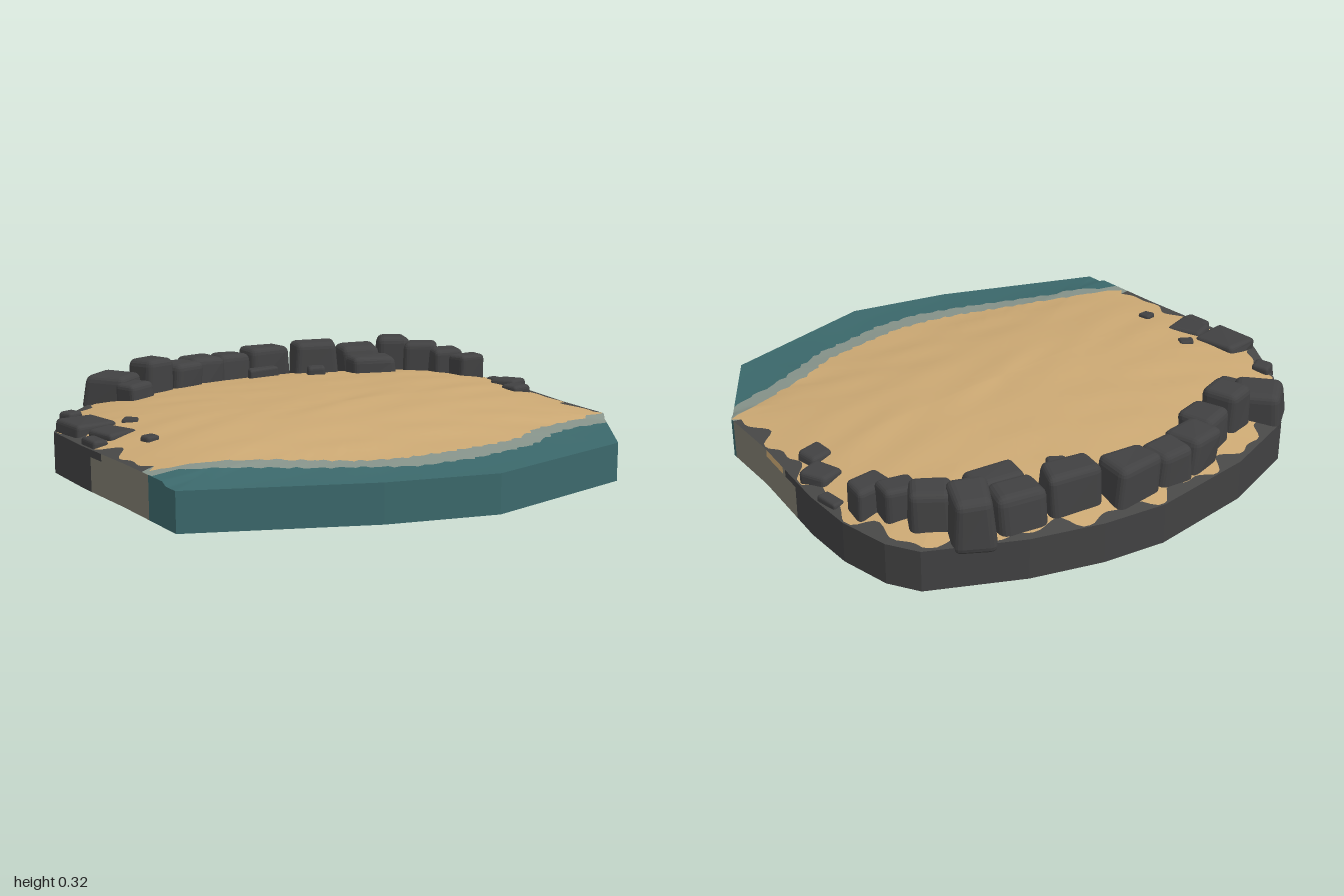
import * as THREE from 'three';
import { mergeVertices } from 'three/addons/utils/BufferGeometryUtils.js';
import { RoundedBoxGeometry } from 'three/addons/geometries/RoundedBoxGeometry.js';

const COLORS = {
  sand: 0xcba873, foam: 0x86938a, water: 0x3b686b, wetStone: 0x7d7a6e,
  rock: 0x414142, rim: 0x484847, underside: 0x3c3c35,
};

// Plan outline and shorelines as [x, z]
const OUTLINE = [[0.91, 0.47], [0.64, 0.84], [0.01, 0.96], [-0.38, 0.85], [-0.99, 0.58], [-0.99, 0.2],
  [-1, -0.1], [-0.995, -0.37], [-0.85, -0.6], [-0.6, -0.85], [-0.28, -0.94], [0.12, -0.965], [0.35, -0.92],
  [0.6, -0.83], [0.91, -0.66], [0.97, -0.55], [1, -0.36], [0.99, -0.16], [0.93, 0.22], [0.91, 0.47]];
const SAND_EDGE = [[-1.05, 0.34], [-0.9, 0.38], [-0.75, 0.42], [-0.6, 0.48], [-0.45, 0.55], [-0.3, 0.62],
  [-0.15, 0.66], [0, 0.675], [0.2, 0.66], [0.35, 0.64], [0.5, 0.57], [0.7, 0.52], [0.95, 0.46]];
const WATER_EDGE = [[-1.05, 0.4], [-0.9, 0.42], [-0.8, 0.48], [-0.7, 0.51], [-0.5, 0.61], [-0.3, 0.7],
  [-0.15, 0.755], [0.05, 0.765], [0.2, 0.74], [0.35, 0.72], [0.5, 0.65], [0.65, 0.6], [0.9, 0.56]];
const PROFILE = [[-1, 0.2], [-0.7, 0.21], [-0.3, 0.216], [0, 0.217], [0.2, 0.208], [0.4, 0.187],
  [0.6, 0.165], [0.8, 0.148], [1, 0.137]];

// Distance from the centre to a polyline along an angle
function hit(line, ang) {
  const c = Math.cos(ang), s = Math.sin(ang);
  let best = Infinity;
  for (let i = 0; i < line.length - 1; i++) {
    const [ax, az] = line[i], [bx, bz] = line[i + 1];
    const da = az * c - ax * s, db = bz * c - bx * s;
    if (da * db > 0 || da === db) continue;
    const k = da / (da - db);
    const r = (ax + (bx - ax) * k) * c + (az + (bz - az) * k) * s;
    if (r > 0) best = Math.min(best, r);
  }
  return best;
}

// Ground height: a low dome sloping down to the water
function ground(x, z, t) {
  let i = 0;
  while (i < PROFILE.length - 2 && z > PROFILE[i + 1][0]) i++;
  const [z0, h0] = PROFILE[i], [z1, h1] = PROFILE[i + 1];
  const h = h0 + (h1 - h0) * (z - z0) / (z1 - z0);
  const edge = z > 0.5 ? 0.14 : 0.152;
  const ripple = 0.002 * Math.sin(13 * x + 5 * Math.sin(7 * z)) + 0.0015 * Math.sin(31 * z + 4 * x);
  const k = 1 - Math.pow(t, 4);
  return edge + (h - edge) * k + ripple * k;
}

function buildIsland(group, mats) {
  const buckets = {};
  const quad = (name, ...p) => {
    const list = (buckets[name] ??= []);
    for (const i of [0, 1, 2, 0, 2, 3]) list.push(...p[i]);
  };
  const angles = OUTLINE.slice(0, -1).map(([x, z]) => (Math.atan2(z, x) + Math.PI * 2) % (Math.PI * 2));
  for (let i = 0; i < 300; i++) angles.push(i / 300 * Math.PI * 2 + 0.0013);
  angles.sort((a, b) => a - b);

  const rays = angles.map((a) => {
    const edge = hit(OUTLINE, a + 1e-7), s1 = hit(SAND_EDGE, a), s2 = hit(WATER_EDGE, a);
    const margin = Math.max(0.006, 0.035 + 0.022 * Math.sin(23 * a) + 0.016 * Math.sin(41 * a + 1));
    const shore = s1 < edge;
    const jag = 0.006 * Math.sin(67 * a) + 0.004 * Math.sin(113 * a);
    const sand = shore ? Math.min(s1 + jag, edge) : edge - margin;
    return { a, edge, shore, sand, foam: Math.max(sand, Math.min(s2 + jag, edge)) };
  });
  const at = (ray, r) => {
    const x = r * Math.cos(ray.a), z = r * Math.sin(ray.a);
    return [x, ground(x, z, Math.min(1, r / ray.edge)), z];
  };
  const ring = (name, p, q, from, to, rows) => {
    for (let j = 0; j < rows; j++) {
      const r = (ray, k) => at(ray, from(ray) + (to(ray) - from(ray)) * k / rows);
      quad(name, r(p, j), r(q, j), r(q, j + 1), r(p, j + 1));
    }
  };

  rays.forEach((p, i) => {
    const q = rays[(i + 1) % rays.length];
    // Top surface bands
    ring('sand', p, q, () => 0, (r) => r.sand, 14);
    if (p.shore || q.shore) {
      ring('foam', p, q, (r) => r.sand, (r) => r.foam, 2);
      ring('water', p, q, (r) => r.foam, (r) => r.edge, 3);
    } else {
      ring('rim', p, q, (r) => r.sand, (r) => r.edge, 2);
    }
    // Side wall in a tall lower row and a short upper row
    const tp = at(p, p.edge), tq = at(q, q.edge);
    const low = (t, y) => [t[0], y, t[2]];
    const z = (tp[2] + tq[2]) / 2, x = tp[0];
    const wave = 0.025 * Math.sin(z * 60);
    const pick = (split) => (z > (x > 0 ? 0.455 : 0.4) ? 'waterWall' : z > split + wave ? 'wetStoneWall' : 'rockWall');
    const patch = x > 0 && z > 0.07 && z < 0.19;
    quad(pick(-0.03), low(tp, 0), low(tp, 0.125), low(tq, 0.125), low(tq, 0));
    quad(patch ? 'sandWall' : pick(0.03), low(tp, 0.125), tp, tq, low(tq, 0.125));
    // Underside
    quad('underside', [0, 0, 0], low(tp, 0), low(tq, 0), [0, 0, 0]);
  });

  for (const [name, list] of Object.entries(buckets)) {
    let geo = new THREE.BufferGeometry();
    geo.setAttribute('position', new THREE.Float32BufferAttribute(list, 3));
    if (!name.endsWith('Wall')) geo = mergeVertices(geo, 1e-5);
    geo.computeVertexNormals();
    const mesh = new THREE.Mesh(geo, mats[name.replace('Wall', '')]);
    mesh.name = name;
    group.add(mesh);
  }
}

// Boulders: x, z, width, depth, turn, top height
const BOULDERS = [
  [-0.58, -0.75, 0.17, 0.18, 0.6, 0.27], [-0.54, -0.64, 0.13, 0.11, 0.4, 0.25], [-0.42, -0.735, 0.14, 0.14, 0.25, 0.32],
  [-0.275, -0.765, 0.14, 0.15, 0.25, 0.29], [-0.14, -0.83, 0.155, 0.14, 0.12, 0.288], [0, -0.84, 0.14, 0.14, 0, 0.283],
  [0.165, -0.84, 0.19, 0.14, -0.05, 0.3], [0.37, -0.765, 0.2, 0.13, -0.28, 0.315], [0.57, -0.715, 0.17, 0.16, -0.25, 0.29],
  [0.545, -0.575, 0.2, 0.13, -0.2, 0.262], [0.72, -0.68, 0.14, 0.16, -0.5, 0.32], [0.79, -0.565, 0.14, 0.13, -0.6, 0.3],
  [0.84, -0.455, 0.13, 0.11, -0.3, 0.285], [0.885, -0.355, 0.14, 0.1, 0, 0.27],
  [0.29, -0.62, 0.08, 0.07, -0.5, 0.235], [0.1, -0.745, 0.13, 0.05, 0, 0.225],
  [0.905, -0.1, 0.1, 0.11, 0.3, 0.2], [0.85, 0.02, 0.1, 0.09, 0.1, 0.2],
  [-0.9, -0.3, 0.16, 0.17, 0.1, 0.2], [-0.88, -0.13, 0.12, 0.14, 0.3, 0.195], [-0.965, -0.08, 0.06, 0.11, 0, 0.18],
  [-0.76, -0.22, 0.06, 0.05, -0.6, 0.205], [-0.82, 0.06, 0.055, 0.05, 0.2, 0.2], [-0.86, -0.53, 0.07, 0.07, 0.3, 0.185],
  [0.96, -0.24, 0.05, 0.1, 0.1, 0.175],
];

function buildBoulders(group, mat) {
  let seed = 7;
  const rand = () => (seed = (seed * 16807) % 2147483647) / 2147483647 - 0.5;
  for (const [x, z, w, d, turn, top] of BOULDERS) {
    const h = top - 0.12;
    const geo = new RoundedBoxGeometry(w, h, d, 2, Math.min(w, d, h) * 0.2);
    // Shift each of the eight corners a little and taper the top
    const shift = Array.from({ length: 8 }, () => [rand() * 0.16, rand() * 0.06, rand() * 0.16]);
    const pos = geo.attributes.position;
    for (let i = 0; i < pos.count; i++) {
      const u = pos.getX(i) / w + 0.5, v = pos.getY(i) / h + 0.5, s = pos.getZ(i) / d + 0.5;
      const o = [0, 0, 0];
      for (let c = 0; c < 8; c++) {
        const k = (c & 1 ? u : 1 - u) * (c & 2 ? v : 1 - v) * (c & 4 ? s : 1 - s);
        for (let n = 0; n < 3; n++) o[n] += shift[c][n] * k;
      }
      const taper = 1.04 - 0.08 * v;
      pos.setXYZ(i, w * ((u - 0.5) * taper + o[0]), h * (v + o[1]), d * ((s - 0.5) * taper + o[2]));
    }
    geo.deleteAttribute('normal');
    geo.computeVertexNormals();
    const mesh = new THREE.Mesh(geo, mat);
    mesh.name = 'boulder';
    mesh.position.set(x, 0.12, z);
    mesh.rotation.y = turn;
    group.add(mesh);
  }
}

export function createModel() {
  const model = new THREE.Group();
  model.name = 'beachIsland';
  const mats = {};
  for (const [name, color] of Object.entries(COLORS)) {
    mats[name] = new THREE.MeshStandardMaterial({ color });
    mats[name].name = name;
  }
  const island = new THREE.Group();
  island.name = 'island';
  buildIsland(island, mats);
  const boulders = new THREE.Group();
  boulders.name = 'boulders';
  buildBoulders(boulders, mats.rock);
  model.add(island, boulders);
  return model;
}
